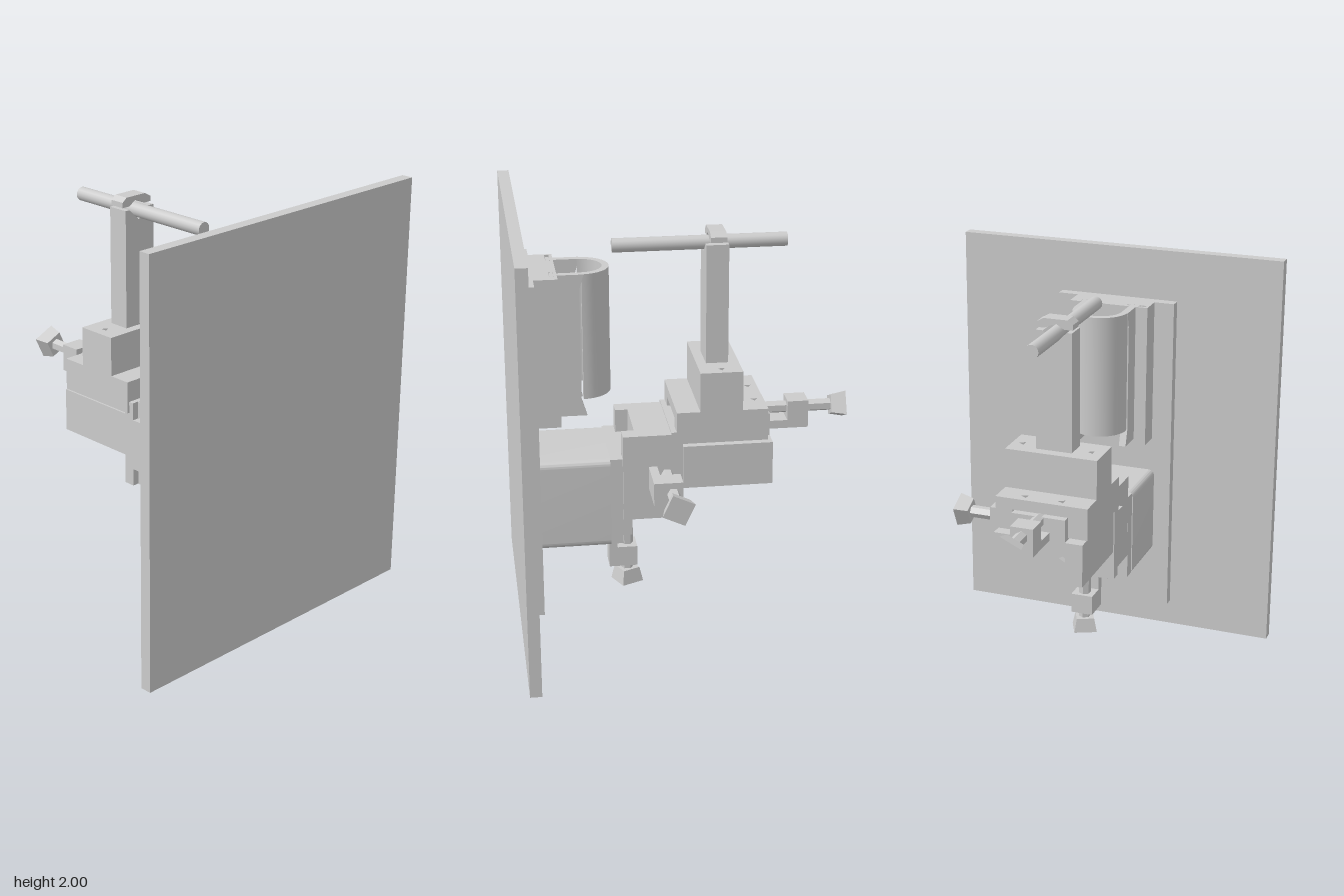
import * as THREE from 'three';
import { toCreasedNormals } from 'three/addons/utils/BufferGeometryUtils.js';

const material = new THREE.MeshStandardMaterial({ color: 0xcccccc });

function add(parent, name, geometry) {
  const mesh = new THREE.Mesh(geometry, material);
  mesh.name = name;
  parent.add(mesh);
  return mesh;
}

// Box given by its limits on each axis
function box(parent, name, x0, x1, y0, y1, z0, z1) {
  const g = new THREE.BoxGeometry(x1 - x0, y1 - y0, z1 - z0);
  return add(parent, name, g.translate((x0 + x1) / 2, (y0 + y1) / 2, (z0 + z1) / 2));
}

const poly = (pts) => new THREE.Shape(pts.map(([a, b]) => new THREE.Vector2(a, b)));
const rect = (a0, a1, b0, b1) => poly([[a0, b0], [a1, b0], [a1, b1], [a0, b1]]);
const extrude = (shape, depth) =>
  new THREE.ExtrudeGeometry(shape, { depth, bevelEnabled: false, curveSegments: 12 });

// Prisms: profile (z, y) along x, (x, z) along y, (x, y) along z
const prismX = (shape, x0, x1) => extrude(shape, x1 - x0).rotateY(-Math.PI / 2).translate(x1, 0, 0);
const prismY = (shape, y0, y1) => extrude(shape, y1 - y0).rotateX(Math.PI / 2).translate(0, y1, 0);
const prismZ = (shape, z0, z1) => extrude(shape, z1 - z0).translate(0, 0, z0);

// Small three-sided screw holes
function drill(shape, centres, r = 0.02) {
  for (const [a, b] of centres) {
    const corners = [0, 1, 2].map((i) => {
      const t = (i * 2 * Math.PI) / 3;
      return new THREE.Vector2(a + r * Math.cos(t), b + r * Math.sin(t));
    });
    shape.holes.push(new THREE.Path(corners));
  }
  return shape;
}

// Adjusting screw: bracket, shaft and square knob, pointing along local +y
function adjuster(parent, name, origin, out, side, knobAt) {
  const g = new THREE.Group();
  g.name = name;
  const y = new THREE.Vector3(...out), z = new THREE.Vector3(...side);
  g.quaternion.setFromRotationMatrix(
    new THREE.Matrix4().makeBasis(new THREE.Vector3().crossVectors(y, z), y, z));
  g.position.set(...origin);
  box(g, 'bracketPlate', -0.055, 0.055, -0.01, 0.2, 0.05, 0.09);
  box(g, 'bracketBlock', -0.055, 0.055, 0.1, 0.2, -0.045, 0.09);
  const len = knobAt + 0.13;
  add(g, 'screwShaft', new THREE.CylinderGeometry(0.03, 0.03, len, 6).toNonIndexed()
    .translate(0, knobAt - len / 2 + 0.01, 0)).geometry.computeVertexNormals();
  const knob = new THREE.CylinderGeometry(0.08, 0.062, 0.07, 4).toNonIndexed();
  knob.computeVertexNormals();
  add(g, 'knob', knob.rotateY(0.35).translate(0, knobAt + 0.035, 0));
  parent.add(g);
}

export function createModel() {
  const model = new THREE.Group();
  model.name = 'platePositioner';

  // Front panel and mounting plate
  box(model, 'frontPanel', -0.825, 0.825, 0, 2, 0.74, 0.795);
  box(model, 'mountingPlate', -0.3, 0.3, 0.13, 1.75, 0.69, 0.74);

  // Slotted holder column
  add(model, 'holderColumn', prismY(poly([
    [-0.2, 0.69], [-0.2, 0.58], [-0.14, 0.58], [-0.14, 0.595], [-0.2 + 0.015, 0.595],
    [-0.185, 0.615], [-0.09, 0.615], [-0.09, 0.595], [-0.105, 0.595], [-0.105, 0.58],
    [0.105, 0.58], [0.105, 0.595], [0.09, 0.595], [0.09, 0.615], [0.15, 0.615],
    [0.15, 0.595], [0.14, 0.595], [0.14, 0.58], [0.2, 0.58], [0.2, 0.69],
  ]), 1.04, 1.75));

  // Legs with flared ends, and the open half tube
  for (const s of [-1, 1]) {
    const x = s * 0.1225;
    add(model, 'holderLeg', prismX(poly([
      [0.6, 1.07], [0.455, 1.07], [0.48, 1.15], [0.48, 1.68], [0.46, 1.75], [0.6, 1.75],
    ]), x - 0.0175, x + 0.0175));
    box(model, 'holderFoot', x - 0.03, x + 0.03, 1.04, 1.75, 0.597, 0.613);
  }
  const tube = new THREE.Shape();
  tube.absarc(0, 0.47, 0.137, Math.PI, 2 * Math.PI, false);
  tube.absarc(0, 0.47, 0.105, 2 * Math.PI, Math.PI, true);
  add(model, 'halfTube', toCreasedNormals(prismY(tube, 1.15, 1.75), 0.6));

  // Base block with rounded long edges
  const r = 0.03, base = new THREE.Shape();
  base.absarc(0.22 - r, 0.87 - r, r, 0, Math.PI / 2);
  base.absarc(-0.215 + r, 0.87 - r, r, Math.PI / 2, Math.PI);
  base.absarc(-0.215 + r, 0.43 + r, r, Math.PI, 1.5 * Math.PI);
  base.absarc(0.22 - r, 0.43 + r, r, 1.5 * Math.PI, 2 * Math.PI);
  add(model, 'baseBlock', toCreasedNormals(prismZ(base, 0.36, 0.69), 0.6));

  // Vertical stage: fixed rail and sliding channel
  add(model, 'verticalRail', prismY(poly([
    [-0.21, 0.36], [-0.21, 0.302], [-0.125, 0.302], [-0.125, 0.25],
    [0.13, 0.25], [0.13, 0.302], [0.215, 0.302], [0.215, 0.36],
  ]), 0.44, 0.87));
  add(model, 'verticalSlide', prismY(poly([
    [-0.21, 0.3], [-0.21, 0.13], [0.215, 0.13], [0.215, 0.3],
    [0.135, 0.3], [0.135, 0.24], [-0.13, 0.24], [-0.13, 0.3],
  ]), 0.56, 0.98));

  // Sideways stage: channel cheeks and tongued carriage
  for (const y of [0.56, 0.9])
    box(model, 'channelCheek', -0.21, 0.215, y, y + 0.08, 0.072, 0.13);
  add(model, 'sideCarriage', prismX(poly([
    [0.015, 0.56], [0.07, 0.56], [0.07, 0.645], [0.127, 0.645],
    [0.127, 0.895], [0.07, 0.895], [0.07, 0.98], [0.015, 0.98],
  ]), -0.24, 0.19));

  // Depth stage: drilled bottom plate, body with rail, and top slide
  add(model, 'bodyBottom', prismY(drill(rect(-0.235, 0.2, -0.41, 0.015),
    [[-0.15, -0.33], [0.1, -0.33], [-0.02, -0.2], [-0.15, -0.07], [0.1, -0.07]]), 0.7, 0.74));
  add(model, 'depthBody', prismZ(poly([
    [-0.235, 0.74], [0.2, 0.74], [0.2, 0.91], [0.11, 0.91], [0.11, 1.02],
    [-0.15, 1.02], [-0.15, 0.91], [-0.235, 0.91],
  ]), -0.38, 0.015));
  add(model, 'bodyEnd', prismZ(drill(poly([
    [-0.235, 0.74], [0.2, 0.74], [0.2, 0.91], [0.11, 0.91], [0.11, 1.02],
    [-0.15, 1.02], [-0.15, 0.91], [-0.235, 0.91],
  ]), [[-0.14, 0.83], [0.1, 0.83]]), -0.41, -0.38));
  add(model, 'depthSlide', prismZ(poly([
    [-0.25, 0.925], [-0.155, 0.925], [-0.155, 1.025], [0.115, 1.025], [0.115, 0.925],
    [0.2, 0.925], [0.2, 1.05], [-0.25, 1.05],
  ]), -0.385, 0.045));
  add(model, 'slideTop', prismY(drill(rect(-0.25, 0.2, -0.385, 0.045),
    [[-0.11, -0.34], [0.07, -0.34]]), 1.05, 1.08));

  // Drilled post base, notched post, clamp and rod
  add(model, 'postBase', prismY(drill(rect(-0.25, 0.2, -0.265, -0.065),
    [[-0.19, -0.17], [0.15, -0.17]]), 1.08, 1.27));
  add(model, 'post', prismZ(poly([
    [-0.11, 1.27], [0.065, 1.27], [0.065, 1.84], [0.03, 1.84],
    [-0.0275, 1.785], [-0.085, 1.84], [-0.11, 1.84],
  ]), -0.215, -0.11));
  add(model, 'rodClamp', prismZ(poly([
    [-0.11, 1.85], [-0.07, 1.85], [-0.0275, 1.875], [0.025, 1.85], [0.065, 1.85],
    [0.065, 1.875], [0.03, 1.895], [-0.085, 1.895], [-0.11, 1.875],
  ]), -0.205, -0.13));
  add(model, 'rod', new THREE.CylinderGeometry(0.033, 0.033, 0.815, 16)
    .rotateX(Math.PI / 2).translate(-0.03, 1.83, -0.0925));

  // Adjusting screws, one for each stage
  adjuster(model, 'sideAdjuster', [0.215, 0.77, 0.09], [1, 0, 0], [0, 0, 1], 0.315);
  adjuster(model, 'heightAdjuster', [0, 0.44, 0.265], [0, -1, 0], [0, 0, 1], 0.23);
  adjuster(model, 'depthAdjuster', [-0.02, 1, -0.41], [0, 0, -1], [0, -1, 0], 0.315);

  return model;
}
